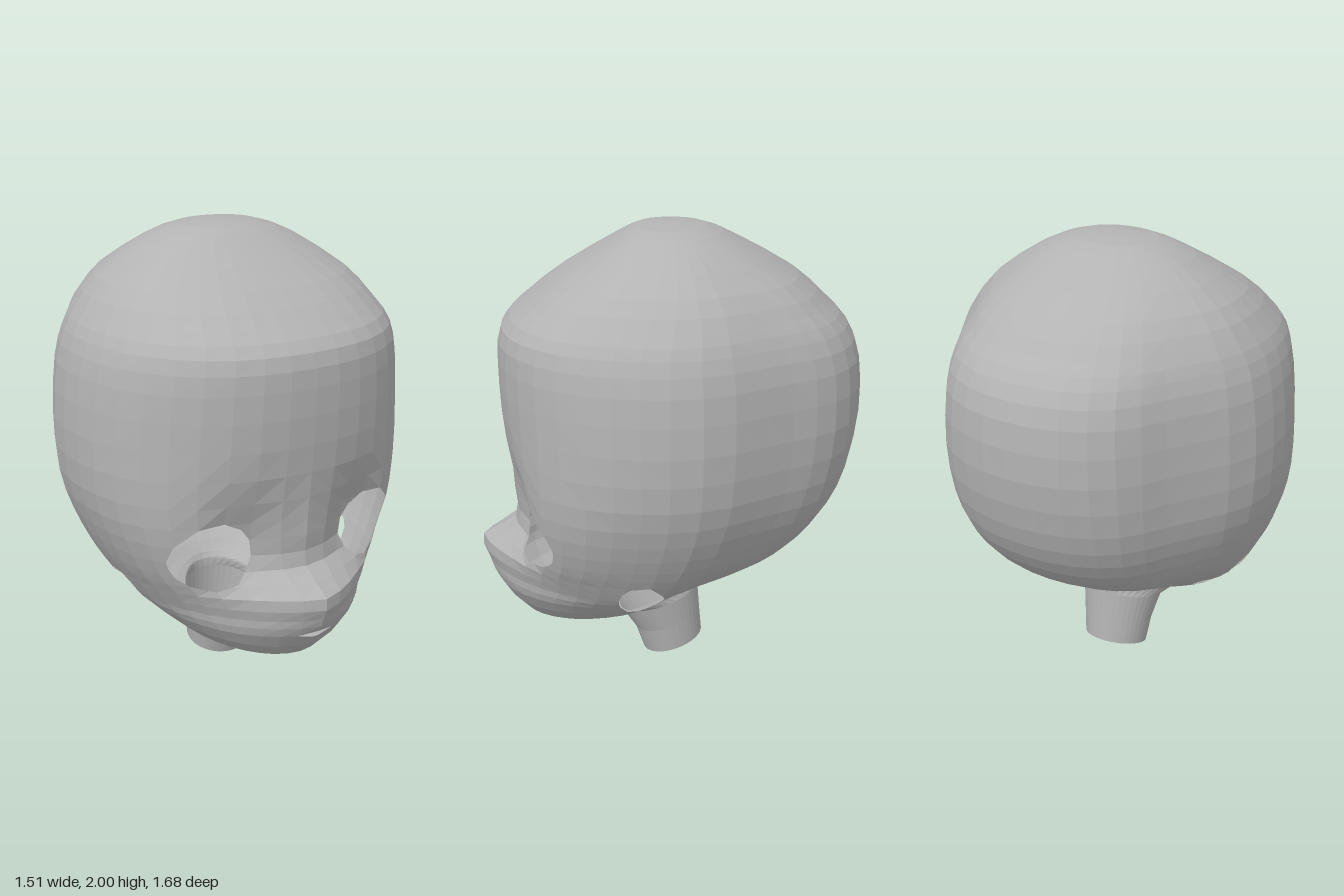
import * as THREE from 'three';

// Key rings from crown to neck base:
// frontZ, frontY, backZ, backY, halfWidth, widestZ, squareness, nosePoint
const KEYS = [
  [0.01, 2, -0.01, 2, 0, 0, 2.2, 0],
  [0.13, 1.985, -0.17, 1.985, 0.18, -0.02, 2.3, 0],
  [0.24, 1.925, -0.31, 1.925, 0.34, -0.03, 2.4, 0],
  [0.47, 1.785, -0.56, 1.785, 0.545, -0.03, 2.45, 0],
  [0.62, 1.67, -0.69, 1.67, 0.64, -0.02, 2.4, 0],
  [0.71, 1.58, -0.775, 1.58, 0.695, 0, 2.3, 0],
  [0.73, 1.44, -0.83, 1.44, 0.735, 0, 2.25, 0],
  [0.722, 1.2, -0.84, 1.2, 0.757, 0, 2.25, 0],
  [0.70, 0.97, -0.80, 0.97, 0.745, 0, 2.45, 0],
  [0.69, 0.8, -0.73, 0.8, 0.70, 0.02, 2.6, 0],
  [0.68, 0.66, -0.62, 0.66, 0.642, 0.05, 2.6, 0.01],
  [0.72, 0.57, -0.5, 0.57, 0.595, 0.08, 2.25, 0.12],
  [0.72, 0.47, -0.32, 0.5, 0.545, 0.12, 2, 0.1],
  [0.73, 0.39, -0.23, 0.47, 0.495, 0.15, 2, 0.05],
  [0.66, 0.25, -0.17, 0.41, 0.38, 0.2, 1.85, 0],
  [0.5, 0.2, -0.15, 0.38, 0.245, 0.22, 1.8, 0],
  [0.22, 0.215, -0.14, 0.33, 0.18, 0.04, 2, 0],
  [0.11, 0, -0.16, 0.08, 0.145, -0.02, 2, 0],
];
const SEGMENTS = 40;
const NECK_ROW = 32; // the neck starts at this ring

// Add one smooth ring halfway between each pair of key rings
function refine(keys) {
  const rings = [];
  keys.forEach((k, i) => {
    rings.push(k);
    if (i === keys.length - 1) return;
    const before = keys[Math.max(i - 1, 0)];
    const next = keys[i + 1];
    const after = keys[Math.min(i + 2, keys.length - 1)];
    rings.push(k.map((v, j) => (9 * (v + next[j]) - before[j] - after[j]) / 16));
  });
  return rings;
}

// A point on a tilted, rounded-square ring; angle 0 faces the front
function ringPoint([zf, yf, zb, yb, w, zc, n, nose], angle) {
  const s = Math.sin(angle), c = Math.cos(angle);
  const e = c > 0 ? n : Math.min(n, 2.1);
  const r = 1 / Math.pow(Math.abs(s) ** e + Math.abs(c) ** e, 1 / e);
  let x = w * s * r;
  let z = zc + (c > 0 ? zf - zc : zc - zb) * c * r;
  const y = THREE.MathUtils.lerp(yf, yb, (zf - z) / (zf - zb));
  if (c > 0) {
    z += nose * Math.max(0, 1 - Math.abs(x) / 0.45);
    // sunken eye sockets
    z -= 0.08 * Math.exp(-(((Math.abs(x) - 0.28) / 0.16) ** 2) - ((y - 0.78) / 0.21) ** 2);
  } else {
    // flattened rear sides of the skull
    x *= 1 - 0.25 * Math.max(0, w - 0.2) * Math.exp(-(((c * r + 0.6) / 0.3) ** 2));
  }
  return new THREE.Vector3(x, y, z);
}

// Negative inside the eye, mouth and ear openings
function openingDistance(p) {
  const ax = Math.abs(p.x);
  let d = 5;
  if (p.z > 0.2) d = Math.min(d, Math.hypot((ax - 0.385) / 0.167, (p.y - 0.745) / 0.148) - 1);
  if (p.z > 0.5) d = Math.min(d, Math.hypot(p.x / 0.085, (p.y - 0.39) / 0.014) - 1);
  if (ax > 0.3) d = Math.min(d, Math.hypot((p.z - 0.115) / 0.097, (p.y - 0.47) / 0.11) - 1);
  return d;
}

// Keep the part of a triangle that lies outside the openings
function clipTriangle(tri, out) {
  const kept = [];
  tri.forEach((p, i) => {
    const q = tri[(i + 1) % 3];
    const dp = openingDistance(p), dq = openingDistance(q);
    if (dp >= 0) kept.push(p);
    if (dp >= 0 !== dq >= 0) kept.push(p.clone().lerp(q, dp / (dp - dq)));
  });
  for (let i = 2; i < kept.length; i++) out.push(kept[0], kept[i - 1], kept[i]);
}

function shell(rings) {
  const rows = rings.map((ring) =>
    Array.from({ length: SEGMENTS }, (_, i) => ringPoint(ring, (i / SEGMENTS) * Math.PI * 2)));
  const points = [];
  for (let r = 0; r < rows.length - 1; r++) {
    for (let i = 0; i < SEGMENTS; i++) {
      const j = (i + 1) % SEGMENTS;
      const a = rows[r][i], b = rows[r][j], c = rows[r + 1][i], d = rows[r + 1][j];
      // mirror the diagonal so both halves match
      const pair = i < SEGMENTS / 2 ? [[a, c, d], [a, d, b]] : [[a, c, b], [b, c, d]];
      pair.forEach((t) => clipTriangle(t, points));
    }
  }
  const geometry = new THREE.BufferGeometry().setFromPoints(points);
  geometry.computeVertexNormals();
  return geometry;
}

export function createModel() {
  const grey = new THREE.MeshStandardMaterial({ color: 0xb3b3b3, flatShading: true, side: THREE.DoubleSide });
  grey.name = 'plain grey';
  const rings = refine(KEYS);
  const model = new THREE.Group();
  model.name = 'headShell';

  // Hollow head with open eyes, mouth and ears
  const head = new THREE.Mesh(shell(rings.slice(0, NECK_ROW + 1)), grey);
  head.name = 'head';

  // Slanted open neck
  const neck = new THREE.Mesh(shell(rings.slice(NECK_ROW)), grey);
  neck.name = 'neck';

  model.add(head, neck);
  return model;
}
